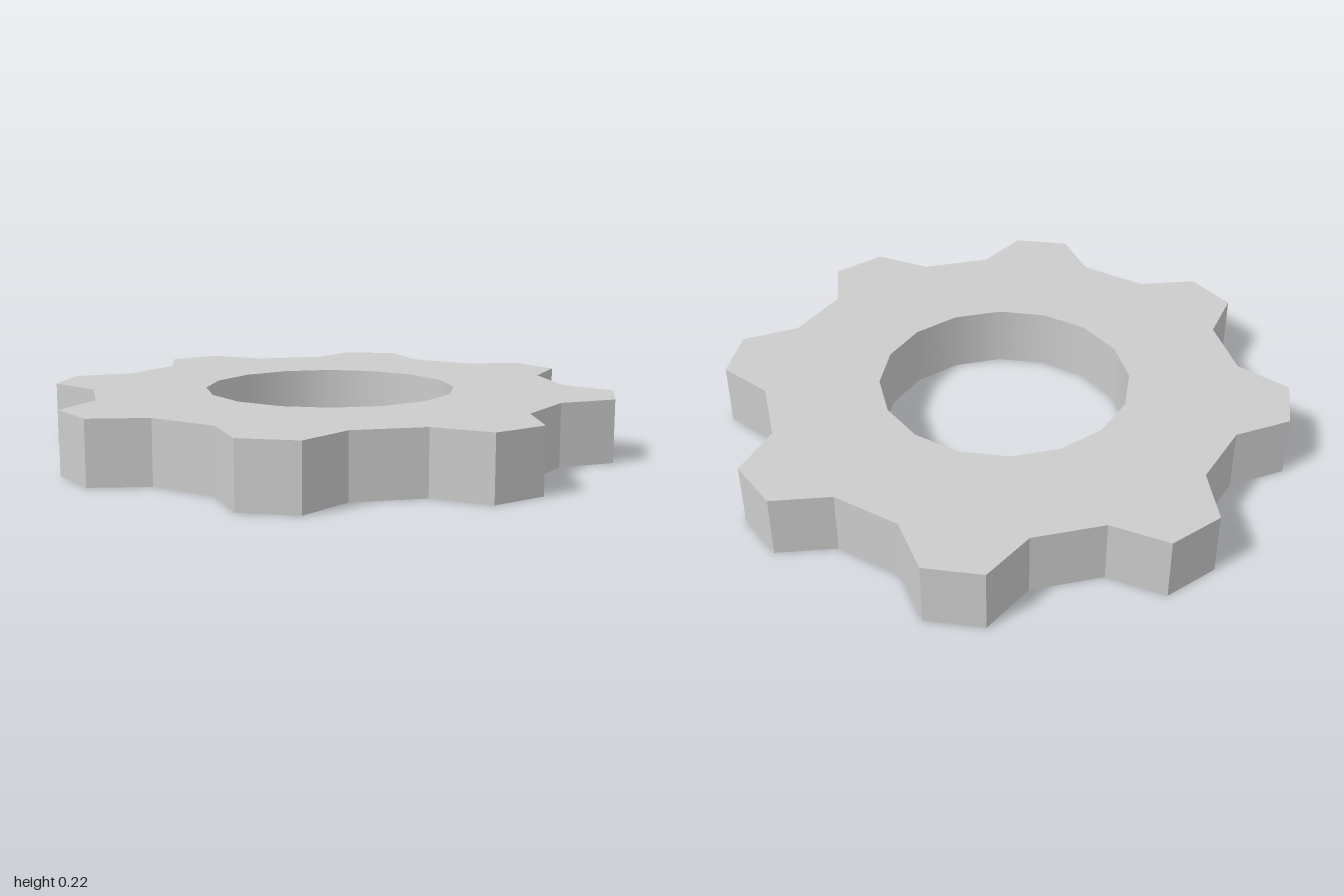
import * as THREE from 'three';

const TEETH = 8;
const HEIGHT = 0.22;
const BORE_RADIUS = 0.445;
const BORE_SIDES = 16;

const polar = (radius, angle) =>
  new THREE.Vector2(radius * Math.cos(angle), radius * Math.sin(angle));

// Toothed outline: each tooth has a flat tip and two sloping flanks
function gearOutline() {
  const root = [0.205, 0.82];
  const tip = [0.1, 1];
  const points = [];
  for (let i = 0; i < TEETH; i++) {
    const centre = (i / TEETH) * Math.PI * 2;
    for (const [[half, reach], side] of [[root, -1], [tip, -1], [tip, 1], [root, 1]]) {
      points.push(polar(Math.hypot(half, reach), centre + side * Math.atan2(half, reach)));
    }
  }
  return points;
}

// Round bore, with flats facing the axes
function boreOutline() {
  return Array.from({ length: BORE_SIDES }, (_, i) =>
    polar(BORE_RADIUS, ((i + 0.5) / BORE_SIDES) * Math.PI * 2));
}

// Flat top plate with the bore cut out
function topPlateGeometry(outline) {
  const shape = new THREE.Shape(outline);
  shape.holes.push(new THREE.Path(boreOutline()));
  return new THREE.ShapeGeometry(shape).rotateX(-Math.PI / 2).translate(0, HEIGHT, 0);
}

// Open tube whose columns are moved onto the toothed outline, with flat facets
function toothWallGeometry(outline) {
  const sides = outline.length;
  const tube = new THREE.CylinderGeometry(1, 1, HEIGHT, sides, 1, true);
  const position = tube.attributes.position;
  for (let i = 0; i < position.count; i++) {
    const point = outline[(i % (sides + 1)) % sides];
    position.setX(i, point.x);
    position.setZ(i, -point.y);
  }
  const wall = tube.toNonIndexed().translate(0, HEIGHT / 2, 0);
  wall.computeVertexNormals();
  return wall;
}

// Smooth open tube lining the bore
function boreWallGeometry() {
  return new THREE.CylinderGeometry(BORE_RADIUS, BORE_RADIUS, HEIGHT, BORE_SIDES, 1, true)
    .rotateY(Math.PI / BORE_SIDES)
    .translate(0, HEIGHT / 2, 0);
}

// Hollow gear: thin plate and walls, open underneath
export function createModel() {
  const material = new THREE.MeshStandardMaterial({ color: 0xcccccc, side: THREE.DoubleSide });
  const outline = gearOutline();
  const parts = {
    topPlate: topPlateGeometry(outline),
    toothWall: toothWallGeometry(outline),
    boreWall: boreWallGeometry(),
  };

  const model = new THREE.Group();
  model.name = 'gear';
  for (const [name, geometry] of Object.entries(parts)) {
    const mesh = new THREE.Mesh(geometry, material);
    mesh.name = name;
    model.add(mesh);
  }
  return model;
}
